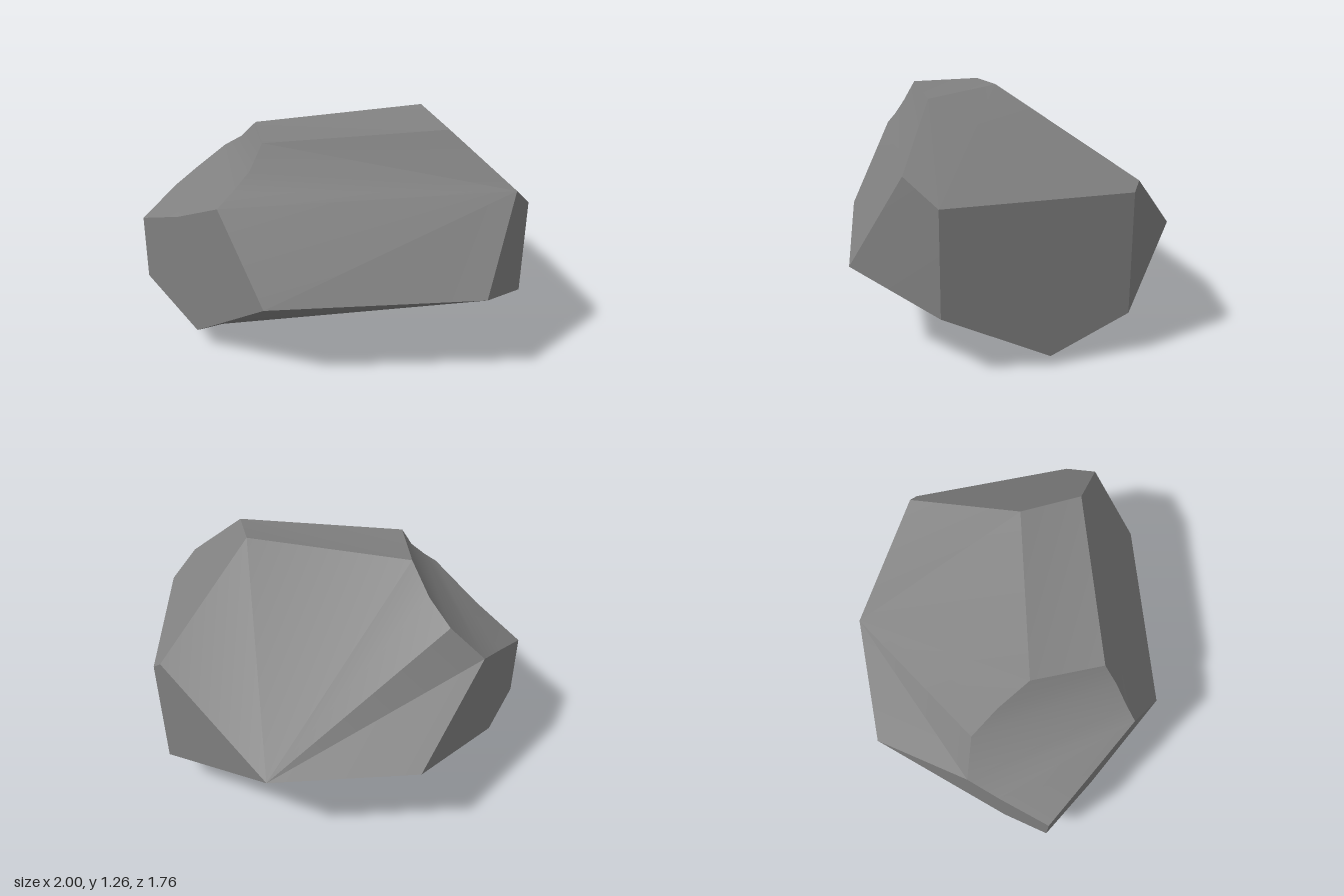
import * as THREE from 'three';
import { toCreasedNormals } from 'three/addons/utils/BufferGeometryUtils.js';

// Corner points of the boulder
const P = {
  // right-hand flat end
  endTopFront: [1, 0.82, 0.52], endTopBack: [1, 0.82, -0.39], endLowBack: [1, 0.22, -0.39],
  endFoot: [1, 0.05, 0], endLowFront: [1, 0.31, 0.52],
  // front
  noseRight: [0.67, 0.47, 0.88], noseLeft: [-0.41, 0.44, 0.75], shoulder: [0.87, 0.94, 0.65],
  // crown
  crownFrontR: [0.565, 1.217, 0.47], crownFrontL: [-0.36, 1.163, 0.37],
  crownBackR: [0.515, 1.264, 0.13], crownBackL: [-0.36, 1.167, -0.01],
  // back
  backCorner: [0.957, 0.862, -0.43], tailR: [0.45, 0.447, -0.88], tailL: [-0.31, 0.447, -0.88],
  // left tip and underside
  tipTop: [-1, 0.637, -0.04], tipLow: [-1, 0.28, -0.04], foot: [-0.6, 0, 0.1],
  footFront: [-0.74, 0.1, 0.31], footBack: [-0.83, 0.163, -0.25],
  // scoop rim, front and back
  f1: [-0.8, 0.742, 0.23], f2: [-0.6, 0.88, 0.5], f3: [-0.52, 0.95, 0.463], f4: [-0.43, 1.04, 0.425],
  b1: [-0.82, 0.737, -0.27], b2: [-0.7, 0.787, -0.41], b3: [-0.52, 0.945, -0.345], b4: [-0.43, 1.04, -0.19],
};

// Each facet is a fan around its first corner
const FACETS = [
  'endTopFront endTopBack endLowBack endFoot endLowFront',
  'endTopFront endLowFront noseRight shoulder',
  'shoulder crownFrontR crownFrontL f4 f3 f2 noseLeft noseRight',
  'crownFrontR crownFrontL crownBackL crownBackR',
  'endTopFront endTopBack backCorner crownBackR crownFrontR shoulder',
  'tailR tailL b2 b3 b4 crownBackL crownBackR backCorner',
  'endTopBack backCorner tailR endLowBack',
  'footFront tipLow tipTop f1 f2 noseLeft',
  'footBack tailL b2 b1 tipTop tipLow',
  'foot footFront tipLow footBack',
  'foot footBack tailL tailR endLowBack endFoot',
  'foot footFront noseLeft noseRight endLowFront endFoot',
];

const vec = (name) => new THREE.Vector3(...P[name]);

function facetTriangles(names) {
  const pts = names.split(' ').map(vec);
  const normal = new THREE.Vector3(), middle = new THREE.Vector3();
  pts.forEach((p, i) => {
    normal.add(p.clone().cross(pts[(i + 1) % pts.length]));
    middle.addScaledVector(p, 1 / pts.length);
  });
  // turn the facet to face away from the core
  const outward = normal.dot(middle.sub(new THREE.Vector3(0, 0.6, 0))) > 0;
  const tris = [];
  for (let i = 1; i < pts.length - 1; i++) {
    tris.push(pts[0], outward ? pts[i] : pts[i + 1], outward ? pts[i + 1] : pts[i]);
  }
  return tris;
}

function meshFrom(name, points, material) {
  const geometry = new THREE.BufferGeometry().setFromPoints(points);
  const mesh = new THREE.Mesh(toCreasedNormals(geometry, 0.35), material);
  mesh.name = name;
  return mesh;
}

export function createModel() {
  const group = new THREE.Group();
  group.name = 'boulder';
  const stone = new THREE.MeshStandardMaterial({ color: 0x808080 });
  stone.name = 'grey stone';

  // Faceted body
  group.add(meshFrom('boulderBody', FACETS.flatMap(facetTriangles), stone));

  // Curved hollow on the left, lofted between its two rims
  const front = ['tipTop', 'f1', 'f2', 'f3', 'f4', 'crownFrontL'].map(vec);
  const back = ['tipTop', 'b1', 'b2', 'b3', 'b4', 'crownBackL'].map(vec);
  const hollow = [];
  for (let i = 0; i < front.length - 1; i++) {
    if (i > 0) hollow.push(front[i], front[i + 1], back[i]);
    hollow.push(front[i + 1], back[i + 1], back[i]);
  }
  group.add(meshFrom('scoopedHollow', hollow, stone));
  return group;
}
